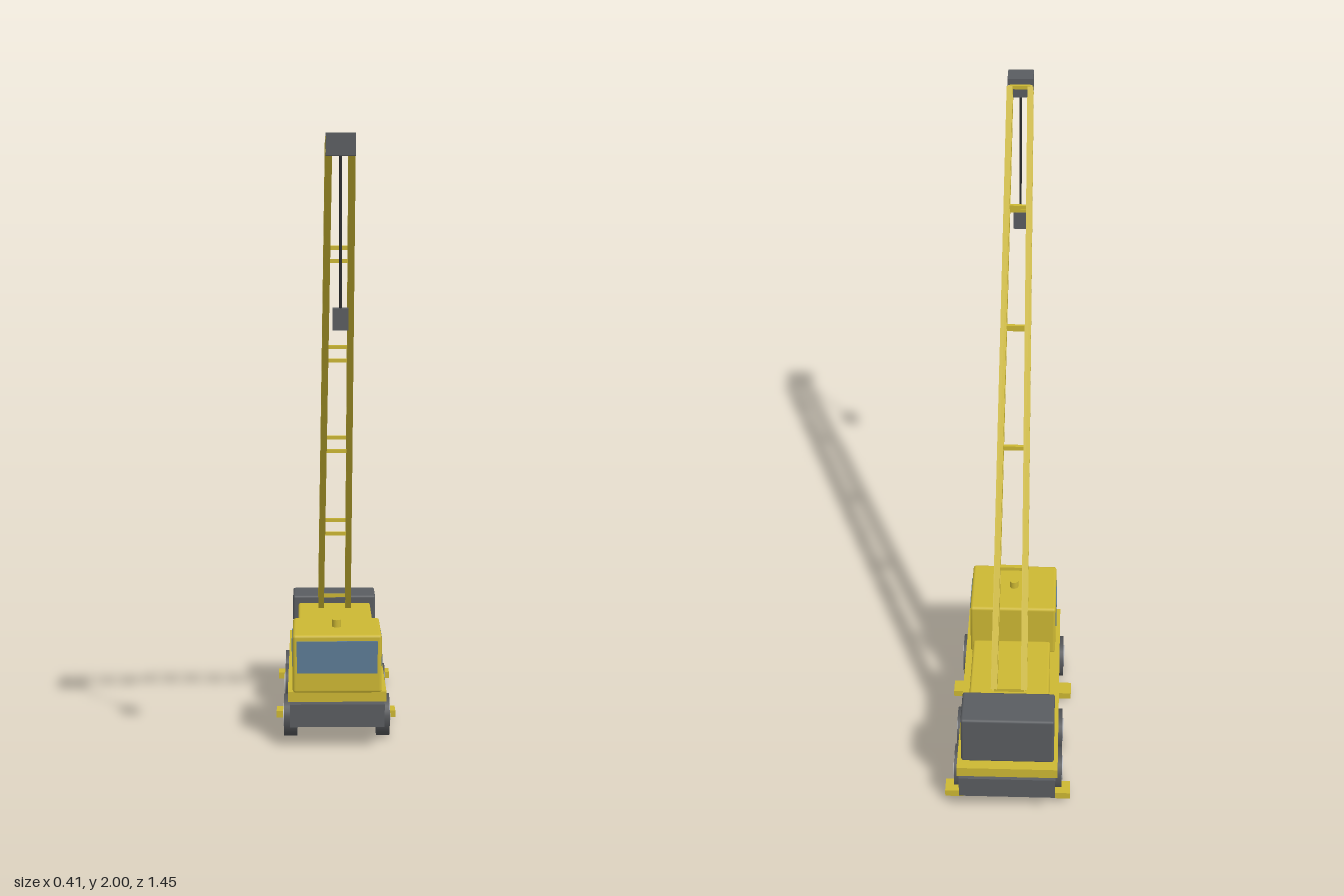
import * as THREE from 'three';
import { RoundedBoxGeometry } from 'three/addons/geometries/RoundedBoxGeometry.js';

const paint = (name, color) => {
  const m = new THREE.MeshStandardMaterial({ color });
  m.name = name;
  return m;
};

export function createModel() {
  const yellow = paint('yellow paint', 0xccb733);
  const grey = paint('dark grey steel', 0x595c60);
  const rubber = paint('tyre rubber', 0x515356);
  const silver = paint('hub silver', 0xb9babc);
  const glass = paint('window glass', 0x5c7a94);
  const black = paint('cable black', 0x2b2c2e);

  const model = new THREE.Group();
  model.name = 'mobileCrane';

  const add = (name, geometry, material, x, y, z, parent = model) => {
    const mesh = new THREE.Mesh(geometry, material);
    mesh.name = name;
    mesh.position.set(x, y, z);
    parent.add(mesh);
    return mesh;
  };
  // box given by half width and its y and z ranges, centred on x = 0
  const block = (name, material, hx, y0, y1, z0, z1, bevel = 0) => {
    const size = [2 * hx, y1 - y0, z1 - z0];
    const geometry = bevel ? new RoundedBoxGeometry(...size, 2, bevel) : new THREE.BoxGeometry(...size);
    return add(name, geometry, material, 0, (y0 + y1) / 2, (z0 + z1) / 2);
  };

  // carrier body
  block('chassis', grey, 0.157, 0.075, 0.152, -0.725, 0.142);
  block('deck', yellow, 0.164, 0.152, 0.187, -0.713, 0.11);
  block('cab', yellow, 0.148, 0.182, 0.38, -0.132, 0.114, 0.01);
  block('engineHouse', yellow, 0.131, 0.182, 0.334, -0.545, -0.243, 0.008);
  block('counterweight', grey, 0.151, 0.184, 0.361, -0.678, -0.538, 0.008);
  add('beacon', new THREE.CylinderGeometry(0.015, 0.015, 0.026, 16), yellow, 0, 0.392, -0.006);

  // windows
  block('windshield', glass, 0.134, 0.252, 0.36, 0.113, 0.121);
  for (const side of [-1, 1]) {
    add('sideWindow', new THREE.BoxGeometry(0.006, 0.094, 0.142), glass, side * 0.148, 0.308, -0.005);
  }

  // wheels and outrigger pads, mirrored
  const tyreGeometry = new THREE.CylinderGeometry(0.071, 0.071, 0.044, 28).rotateZ(Math.PI / 2);
  const hubGeometry = new THREE.CylinderGeometry(0.039, 0.039, 0.05, 24).rotateZ(Math.PI / 2);
  const padGeometry = new THREE.BoxGeometry(0.06, 0.024, 0.056);
  for (const side of [-1, 1]) {
    for (const z of [-0.013, -0.398, -0.581]) {
      const wheel = new THREE.Group();
      wheel.name = 'wheel';
      wheel.position.set(side * 0.156, 0.071, z);
      add('tyre', tyreGeometry, rubber, 0, 0, 0, wheel);
      add('hub', hubGeometry, silver, 0, 0, 0, wheel);
      model.add(wheel);
    }
    for (const z of [-0.16, -0.648]) add('outriggerPad', padGeometry, yellow, side * 0.176, 0.036, z);
  }

  // lattice boom: square bars between points on four tapering chords
  const boom = new THREE.Group();
  boom.name = 'boom';
  model.add(boom);
  const bar = (name, a, b, thickness) => {
    const mesh = add(name, new THREE.BoxGeometry(thickness, thickness, a.distanceTo(b)), yellow, 0, 0, 0, boom);
    mesh.position.copy(a).add(b).multiplyScalar(0.5);
    mesh.lookAt(b);
  };
  const chordPoint = (side, upper, t) => new THREE.Vector3(
    side * THREE.MathUtils.lerp(0.049, 0.034, t),
    THREE.MathUtils.lerp(0.327, 1.95, t) + upper * 0.038,
    THREE.MathUtils.lerp(-0.475, 0.657, t) - upper * 0.052
  );
  for (const side of [-1, 1]) {
    for (const upper of [0, 1]) bar('boomChord', chordPoint(side, upper, 0), chordPoint(side, upper, 1), 0.02);
  }
  for (let i = 0; i <= 5; i++) {
    const t = i / 5;
    for (const upper of [0, 1]) bar('crossBar', chordPoint(-1, upper, t), chordPoint(1, upper, t), 0.012);
    for (const side of [-1, 1]) bar('sideBrace', chordPoint(side, 0, t), chordPoint(side, 1, t), 0.012);
  }

  // boom head, hoist cable and hook block
  block('boomHead', grey, 0.043, 1.935, 2.0, 0.643, 0.725);
  add('hoistCable', new THREE.CylinderGeometry(0.004, 0.004, 0.45, 8), black, 0, 1.718, 0.686);
  block('hookBlock', grey, 0.023, 1.438, 1.5, 0.663, 0.709);

  return model;
}
